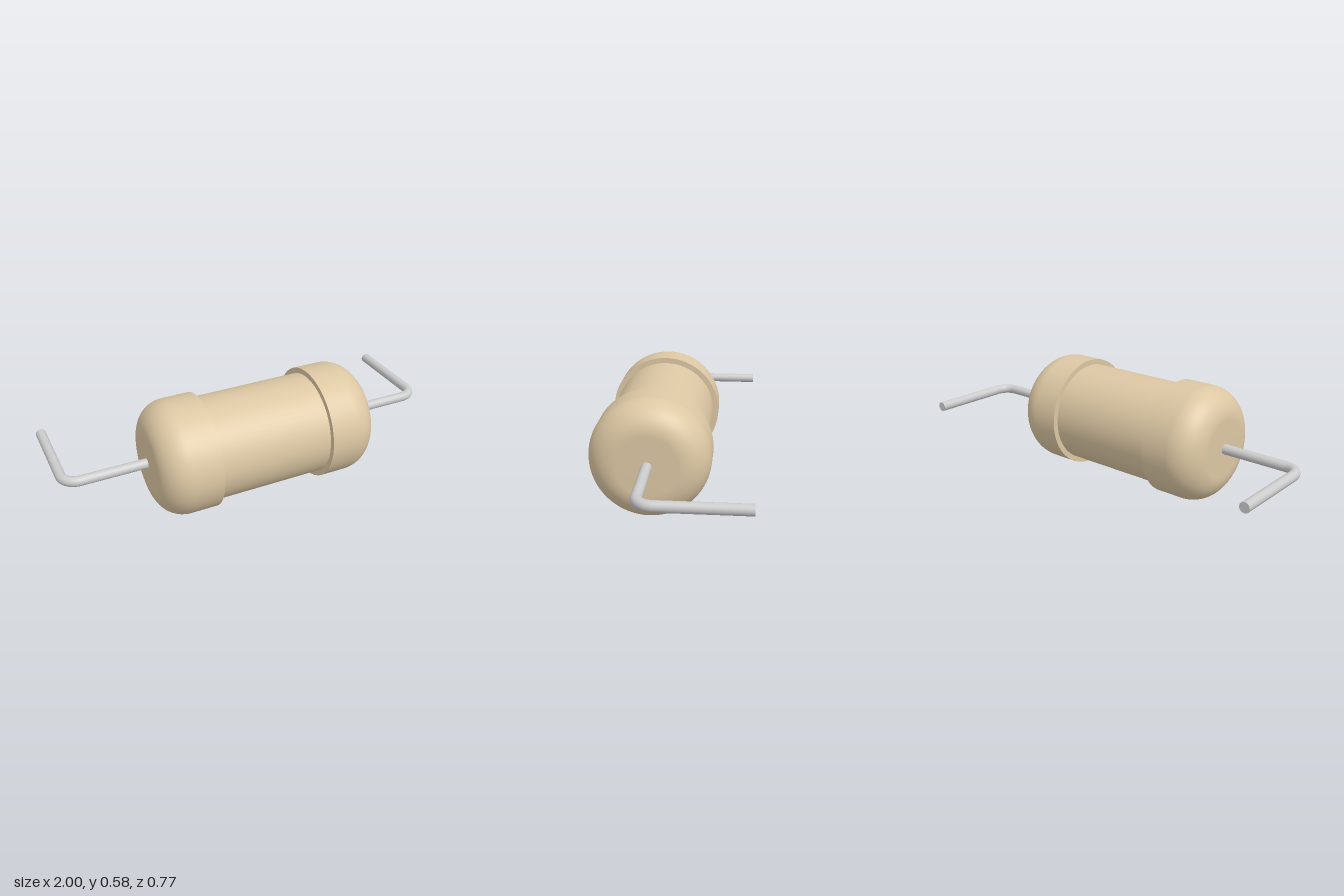
import * as THREE from 'three';
import { mergeGeometries } from 'three/addons/utils/BufferGeometryUtils.js';

const AXIS_Y = 0.288, AXIS_Z = 0.096;             // body axis, running along x
const CAP_R = 0.288, CORE_R = 0.26, FILLET = 0.144;
const CAP_IN = 0.292, CAP_OUT = 0.574;            // cap extent along x
const WIRE_R = 0.025, BEND = 0.075, LEG_X = 0.975, LEG_END = -0.385;

// Rounded end cap, turned around the body axis; side is +1 or -1
function capGeometry(side) {
  const p = [
    [CORE_R - 0.01, CAP_IN], [CAP_R, CAP_IN],
    [CAP_R, CAP_IN],                              // doubled point keeps the rim sharp
  ].map(([r, h]) => new THREE.Vector2(r, h));
  const steps = 16;
  for (let i = 0; i <= steps; i++) {
    const a = (i / steps) * Math.PI / 2;
    p.push(new THREE.Vector2(
      CAP_R - FILLET + FILLET * Math.cos(a),
      CAP_OUT - FILLET + FILLET * Math.sin(a)));
  }
  p.push(new THREE.Vector2(0, CAP_OUT));
  return new THREE.LatheGeometry(p, 64).rotateZ(-side * Math.PI / 2);
}

// Wire lead: straight out of the cap, a quarter bend, then straight back
function leadGeometry(side) {
  const bendX = LEG_X - BEND, bendZ = AXIS_Z - BEND;
  const start = CAP_OUT - 0.03;
  const out = new THREE.CylinderGeometry(WIRE_R, WIRE_R, bendX - start, 24, 1, true)
    .rotateZ(Math.PI / 2)
    .translate(side * (start + bendX) / 2, AXIS_Y, AXIS_Z);
  const bend = new THREE.TorusGeometry(BEND, WIRE_R, 24, 16, Math.PI / 2)
    .rotateX(Math.PI / 2)
    .rotateY(side > 0 ? 0 : -Math.PI / 2)
    .translate(side * bendX, AXIS_Y, bendZ);
  const back = new THREE.CylinderGeometry(WIRE_R, WIRE_R, bendZ - LEG_END, 24)
    .rotateX(Math.PI / 2)
    .translate(side * LEG_X, AXIS_Y, (bendZ + LEG_END) / 2);
  return mergeGeometries([out, bend, back]);
}

export function createModel() {
  const model = new THREE.Group();
  model.name = 'resistor';
  const bodyMat = new THREE.MeshStandardMaterial({ color: 0xdcc7a3 });
  const wireMat = new THREE.MeshStandardMaterial({ color: 0xcccccc });
  const add = (name, geometry, material) => {
    const mesh = new THREE.Mesh(geometry, material);
    mesh.name = name;
    model.add(mesh);
    return mesh;
  };

  // Narrower middle barrel
  add('barrel', new THREE.CylinderGeometry(CORE_R, CORE_R, 2 * CAP_IN, 64, 1, true)
    .rotateZ(Math.PI / 2), bodyMat).position.set(0, AXIS_Y, AXIS_Z);

  // Caps and leads on both ends
  for (const [side, label] of [[1, 'left'], [-1, 'right']]) {
    add(label + 'Cap', capGeometry(side), bodyMat).position.set(0, AXIS_Y, AXIS_Z);
    add(label + 'Lead', leadGeometry(side), wireMat);
  }
  return model;
}
